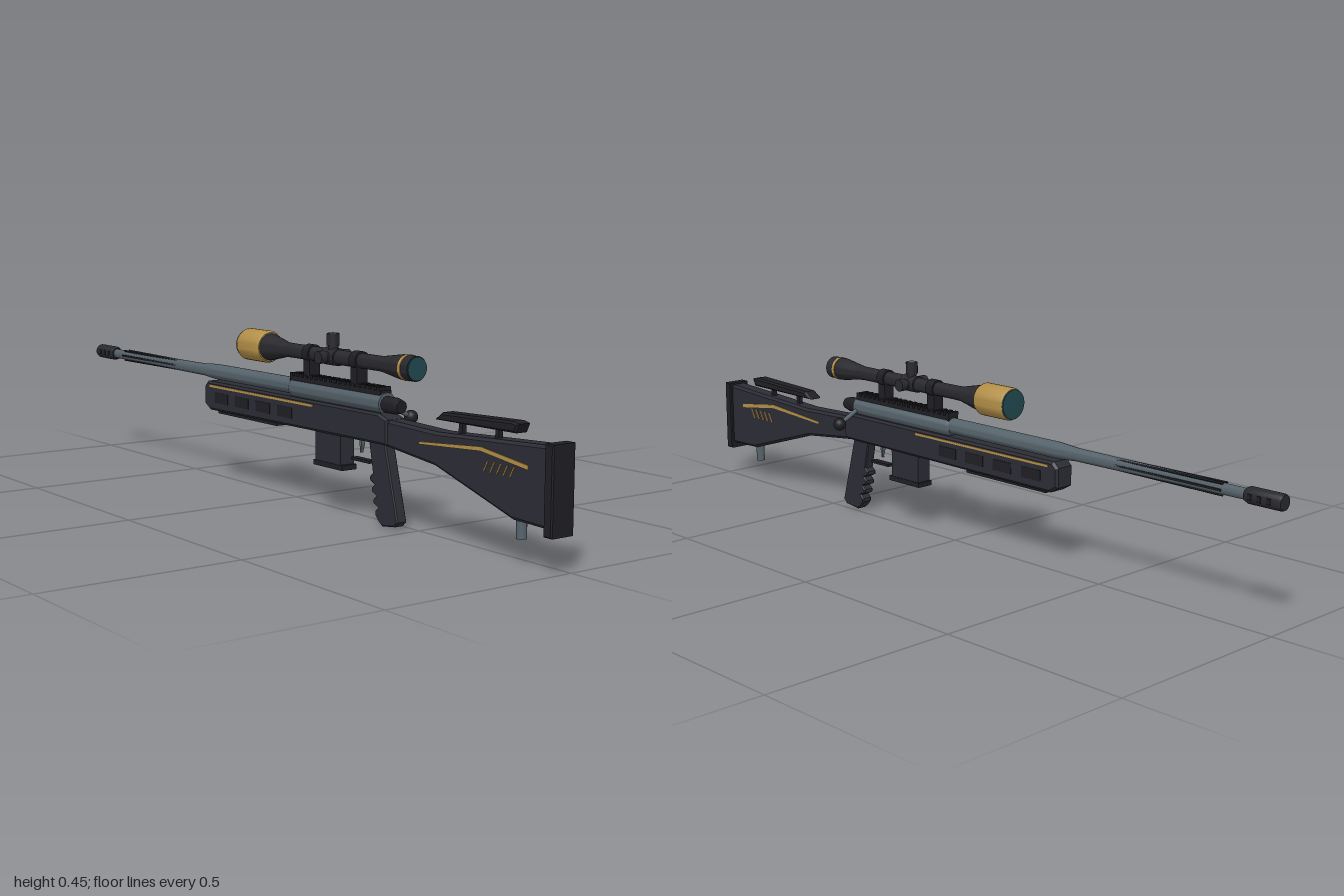
import * as THREE from 'three';
import { toCreasedNormals } from 'three/addons/utils/BufferGeometryUtils.js';

const mat = (name, color) => Object.assign(new THREE.MeshStandardMaterial({ color }), { name });

export function createModel() {
  const body = mat('dark polymer', 0x2c2c35);
  const black = mat('black metal', 0x1f1f24);
  const scopeMat = mat('scope grey', 0x29292e);
  const steel = mat('blued steel', 0x55626a);
  const gold = mat('gold', 0xb38f48);
  const glass = mat('teal glass', 0x21484f);

  const model = new THREE.Group();
  model.name = 'rifle';
  const rifle = new THREE.Group();
  rifle.name = 'rifleParts';
  rifle.position.x = -0.027; // bolt handle overhangs to +x
  model.add(rifle);

  const add = (name, geo, material, x = 0, y = 0, z = 0, parent = rifle) => {
    const m = new THREE.Mesh(geo, material);
    m.name = name;
    m.position.set(x, y, z);
    parent.add(m);
    return m;
  };
  // box given by its z and y ranges, centred on x
  const box = (name, material, w, y0, y1, z0, z1, x = 0) =>
    add(name, new THREE.BoxGeometry(w, y1 - y0, Math.abs(z1 - z0)), material, x, (y0 + y1) / 2, (z0 + z1) / 2);
  // side outline of [z, y] points extruded across x
  const side = (name, material, pts, w, bevel = 0, x = 0) => {
    const shape = new THREE.Shape(pts.map(([z, y]) => new THREE.Vector2(-z, y)));
    const g = new THREE.ExtrudeGeometry(shape, {
      depth: w - 2 * bevel, bevelEnabled: bevel > 0, bevelSize: bevel, bevelThickness: bevel,
      bevelOffset: -bevel, bevelSegments: 1,
    });
    g.translate(0, 0, -w / 2 + bevel).rotateY(Math.PI / 2);
    return add(name, g, material, x);
  };
  // turned part along z from [radius, z] points in rising z
  const turned = (name, material, pts, y, seg = 28) => {
    const g = new THREE.LatheGeometry(pts.map(([r, z]) => new THREE.Vector2(r, z)), seg).rotateX(Math.PI / 2);
    return add(name, toCreasedNormals(g, 0.6), material, 0, y, 0);
  };

  // stock and butt
  side('stock', body, [[0.98, 0.095], [0.98, 0.274], [0.62, 0.256], [0.43, 0.262], [0.43, 0.198],
    [0.61, 0.178], [0.87, 0.098]], 0.05, 0.007);
  side('buttPad', black, [[1, 0.08], [1, 0.279], [0.974, 0.279], [0.974, 0.08]], 0.066, 0.003);
  side('cheekRest', black, [[0.87, 0.285], [0.88, 0.306], [0.86, 0.31], [0.63, 0.302], [0.605, 0.283]], 0.04, 0.005);
  for (const z of [0.8, 0.68]) box('cheekPost', black, 0.012, 0.255, 0.29, z - 0.006, z + 0.006);
  add('slingStud', new THREE.CylinderGeometry(0.012, 0.012, 0.05, 16), steel, 0, 0.08, 0.876);

  // chassis and fore-end
  side('foreEnd', body, [[0.445, 0.2], [0.445, 0.262], [0.41, 0.274], [-0.345, 0.274], [-0.36, 0.26],
    [-0.36, 0.21], [-0.335, 0.195]], 0.058, 0.006);
  box('bottomRail', black, 0.03, 0.187, 0.2, -0.03, -0.31);

  // inlays and vents on both sides
  for (const s of [-1, 1]) {
    const xs = s * 0.0255;
    side('stockInlay', gold, [[0.92, 0.214], [0.92, 0.224], [0.77, 0.244], [0.56, 0.227], [0.56, 0.221],
      [0.77, 0.234]], 0.004, 0, xs);
    for (let i = 0; i < 5; i++) {
      const z = 0.88 - i * 0.021;
      side('stockTick', gold, [[z, 0.216], [z - 0.004, 0.216], [z - 0.018, 0.19], [z - 0.014, 0.19]], 0.004, 0, xs);
    }
    box('foreEndLine', gold, 0.004, 0.259, 0.265, 0.15, -0.33, s * 0.029);
    for (let i = 0; i < 4; i++) {
      const z = 0.06 - i * 0.1;
      box('foreEndPanel', black, 0.004, 0.218, 0.246, z, z - 0.065, s * 0.0285);
    }
  }

  // pistol grip with finger grooves on its front edge
  const grip = [[0.42, 0.205], [0.47, 0.018], [0.458, 0.006], [0.41, 0], [0.396, 0.01]];
  for (let i = 0; i < 4; i++) {
    const y = 0.024 + i * 0.027, z = 0.392 - i * 0.007;
    grip.push([z - 0.008, y], [z - 0.008, y + 0.01], [z + 0.003, y + 0.019]);
  }
  grip.push([0.358, 0.205]);
  side('grip', body, grip, 0.03, 0.003);

  // trigger, guard and magazine
  side('trigger', steel, [[0.318, 0.205], [0.31, 0.205], [0.311, 0.185], [0.317, 0.165], [0.312, 0.164],
    [0.319, 0.185]].reverse(), 0.01);
  box('triggerGuard', black, 0.02, 0.143, 0.15, 0.355, 0.283);
  box('magazine', body, 0.042, 0.122, 0.21, 0.255, 0.15);
  box('magazineBase', black, 0.046, 0.113, 0.126, 0.263, 0.145);

  // receiver, bolt and barrel
  const axis = 0.295;
  turned('receiver', steel, [[0, 0.03], [0.021, 0.03], [0.026, 0.04], [0.026, 0.41], [0, 0.41]], axis);
  turned('boltShroud', black, [[0, 0.4], [0.02, 0.4], [0.02, 0.445], [0.015, 0.465], [0, 0.465]], axis - 0.002);
  const from = new THREE.Vector3(0.012, 0.29, 0.4), to = new THREE.Vector3(0.082, 0.255, 0.4);
  add('boltHandle', new THREE.TubeGeometry(new THREE.LineCurve3(from, to), 1, 0.006, 12), steel);
  add('boltKnob', new THREE.SphereGeometry(0.017, 20, 14), black, to.x, to.y, to.z);
  const by = 0.298;
  turned('barrel', steel, [[0, -0.92], [0.013, -0.92], [0.0165, -0.4], [0.021, -0.34], [0.021, 0.06], [0, 0.06]], by);
  for (let i = 0; i < 6; i++) {
    const holder = new THREE.Group();
    holder.name = 'barrelFlute';
    holder.position.set(0, by, -0.62);
    holder.rotation.z = (i * Math.PI) / 3;
    rifle.add(holder);
    add('flute', new THREE.BoxGeometry(0.003, 0.005, 0.44), black, 0.0145, 0, 0, holder).rotation.y = -0.0067;
  }
  turned('muzzleBrake', scopeMat, [[0, -1], [0.018, -1], [0.02, -0.995], [0.02, -0.91], [0.016, -0.9], [0, -0.9]], by);
  for (const s of [-1, 1]) for (let i = 0; i < 3; i++)
    box('brakePort', black, 0.004, by - 0.007, by + 0.007, -0.975 + i * 0.025, -0.965 + i * 0.025, s * 0.0195);

  // toothed scope rail
  box('scopeRail', black, 0.034, 0.312, 0.326, 0.405, 0.035);
  for (let i = 0; i < 19; i++) box('railTooth', black, 0.036, 0.325, 0.334, 0.402 - i * 0.0198, 0.391 - i * 0.0198);

  // scope
  const sy = 0.388;
  turned('scopeTube', scopeMat, [[0, -0.085], [0.036, -0.085], [0.034, -0.07], [0.019, 0], [0.0185, 0.03],
    [0.0185, 0.39], [0.021, 0.41], [0.027, 0.45], [0.03, 0.47], [0.03, 0.518], [0, 0.518]], sy);
  turned('objectiveBell', gold, [[0, -0.18], [0.039, -0.18], [0.042, -0.174], [0.042, -0.086], [0.038, -0.078], [0, -0.078]], sy);
  turned('objectiveLens', glass, [[0, -0.186], [0.038, -0.184], [0.038, -0.178], [0, -0.178]], sy);
  turned('eyepieceRing', gold, [[0.029, 0.484], [0.0312, 0.484], [0.0312, 0.493], [0.029, 0.493]], sy);
  turned('eyepieceLens', glass, [[0, 0.515], [0.028, 0.515], [0.028, 0.521], [0, 0.522]], sy);
  for (const z of [0.3, 0.105]) {
    turned('scopeRing', black, [[0.017, z - 0.013], [0.023, z - 0.013], [0.023, z + 0.013], [0.017, z + 0.013]], sy);
    box('ringMount', black, 0.032, 0.33, 0.374, z - 0.013, z + 0.013);
  }

  // adjustment turrets: top, left and right
  const tz = 0.195;
  turned('turretSaddle', scopeMat, [[0, tz - 0.03], [0.022, tz - 0.026], [0.022, tz + 0.026], [0, tz + 0.03]], sy);
  [0, 1, -1].forEach((d) => {
    const turret = new THREE.Group();
    turret.name = d === 0 ? 'topTurret' : 'sideTurret';
    turret.position.set(0, sy, tz);
    turret.rotation.z = (-d * Math.PI) / 2;
    rifle.add(turret);
    const h = d === 0 ? 0.057 : 0.047;
    add('turretBase', new THREE.CylinderGeometry(0.013, 0.013, 0.03, 20), scopeMat, 0, 0.018, 0, turret);
    add('turretKnob', new THREE.CylinderGeometry(0.016, 0.016, h - 0.027, 20), scopeMat, 0, (h + 0.027) / 2, 0, turret);
    if (d === 0) add('turretCap', new THREE.CylinderGeometry(0.013, 0.013, 0.003, 20), steel, 0, h, 0, turret);
  });
  return model;
}
